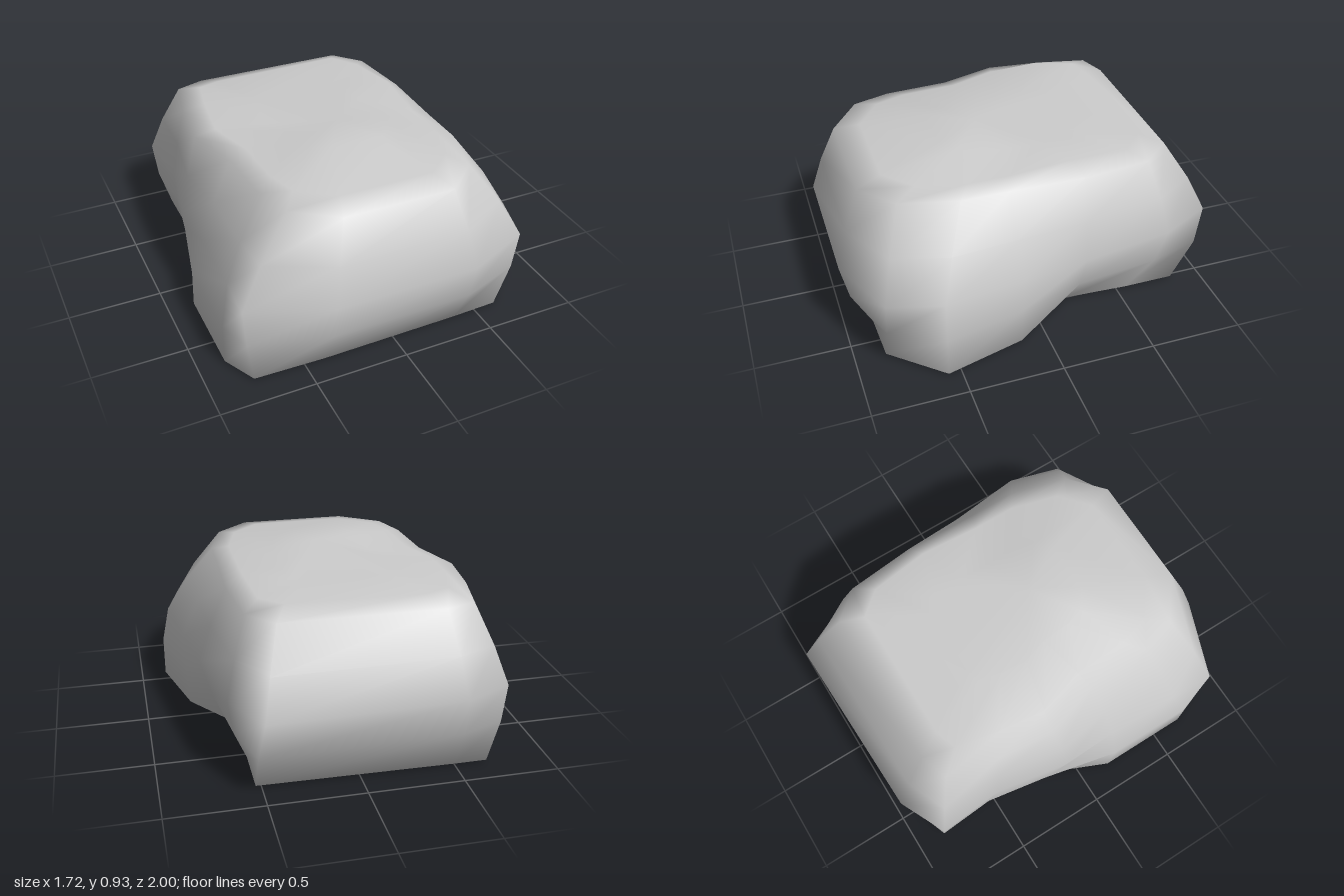
import * as THREE from 'three';

// Horizontal outlines as x, z pairs, running from the front round the +x side and the back
const FOOT = [.36, .85, .62, .84, .86, .57, .75, .14, .51, -.2, .53, -.55, .53, -.83,
  -.5, -.85, -.67, -.85, -.67, -.55, -.69, -.22, -.86, .17, -.86, .67, -.77, .85, -.39, .86];
const WAIST = [.38, 1, .74, .84, .82, .56, .77, .14, .72, -.22, .64, -.72, .5, -1,
  -.51, -.97, -.76, -.85, -.73, -.5, -.8, -.1, -.79, .2, -.8, .6, -.81, .84, -.39, 1];
const SHOULDER = [.3, .86, .48, .7, .56, .4, .56, .14, .57, -.25, .53, -.62, .4, -.77,
  -.45, -.77, -.6, -.72, -.66, -.45, -.69, -.15, -.6, .15, -.58, .5, -.52, .7, -.3, .86];

// Above the foot the stone swells to the waist, but keeps the lumps that already stick out
const SILL = FOOT.map((f, i) => Math.abs(f) > Math.abs(WAIST[i]) ? f : THREE.MathUtils.lerp(f, WAIST[i], 0.72));

// Soft knobs on the crown: x, z, rise, spread
const KNOBS = [[-0.02, 0.28, 0.085, 0.08], [0.47, -0.15, 0.04, 0.03], [0.2, -0.66, 0.025, 0.1], [-0.47, -0.4, 0.04, 0.06]];
const crown = (x, z) => KNOBS.reduce(
  (y, [cx, cz, rise, spread]) => y + rise * Math.exp(-((x - cx) ** 2 + (z - cz) ** 2) / spread), 0.865);

// One ring of points from an outline, scaled, at a height given by a rule
function ring(outline, scale, height) {
  const points = [];
  for (let i = 0; i < outline.length; i += 2) {
    const x = outline[i] * scale, z = outline[i + 1] * scale;
    points.push([x, height(x, z), z]);
  }
  return points;
}

function boulderGeometry() {
  const rings = [
    ring(FOOT, 0.5, () => 0.005),
    ring(FOOT, 0.9, () => 0),
    ring(FOOT, 1, () => 0.01),
    ring(SILL, 1, () => 0.23),
    ring(WAIST, 1, () => 0.43),
    ring(WAIST.map((w, i) => THREE.MathUtils.lerp(w, SHOULDER[i], 0.42)), 1, () => 0.63),
    ring(SHOULDER, 1, () => 0.84),
    ring(SHOULDER, 0.84, crown),
    ring(SHOULDER, 0.45, crown),
  ];
  const n = rings[0].length;
  const positions = rings.flat(2);
  const index = [];

  // Skin between neighbouring rings
  for (let r = 0; r < rings.length - 1; r++) {
    for (let i = 0; i < n; i++) {
      const a = r * n + i, b = r * n + (i + 1) % n;
      index.push(a, b, b + n, a, b + n, a + n);
    }
  }

  // Close the underside and the crown
  const bottom = rings.length * n, peak = bottom + 1, last = (rings.length - 1) * n;
  positions.push(0, 0.01, 0, 0, crown(0, 0.15), 0.15);
  for (let i = 0; i < n; i++) {
    const j = (i + 1) % n;
    index.push(bottom, j, i, peak, last + i, last + j);
  }

  const geometry = new THREE.BufferGeometry();
  geometry.setAttribute('position', new THREE.Float32BufferAttribute(positions, 3));
  geometry.setIndex(index);
  geometry.computeVertexNormals();
  return geometry;
}

export function createModel() {
  const group = new THREE.Group();
  group.name = 'rock';
  const boulder = new THREE.Mesh(boulderGeometry(), new THREE.MeshStandardMaterial({ color: 0xcccccc }));
  boulder.name = 'boulder';
  group.add(boulder);
  return group;
}
